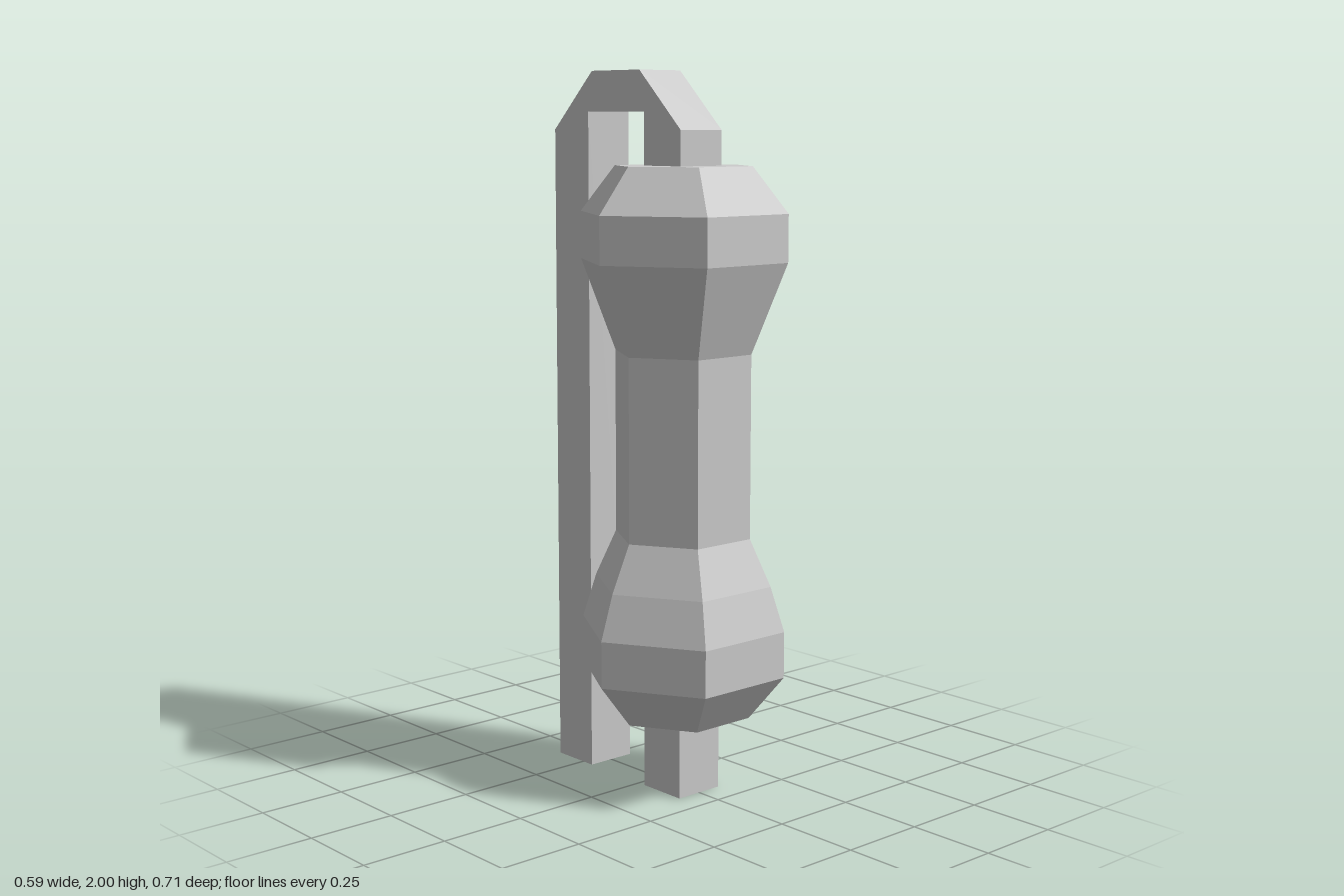
import * as THREE from 'three';

const HALF_WIDTH = 0.074;
const material = new THREE.MeshStandardMaterial({
  color: 0xcccccc, flatShading: true, side: THREE.DoubleSide,
});

// Open-ended square wire; each section is [outerZ, outerY, innerZ, innerY].
function wireGeometry(sections) {
  const positions = [];
  const rings = sections.map(([oz, oy, iz, iy]) => [
    [HALF_WIDTH, oy, oz], [-HALF_WIDTH, oy, oz],
    [-HALF_WIDTH, iy, iz], [HALF_WIDTH, iy, iz],
  ]);
  for (let i = 0; i < rings.length - 1; i++) {
    for (let k = 0; k < 4; k++) {
      const n = (k + 1) % 4;
      const a = rings[i][k], b = rings[i][n];
      const c = rings[i + 1][n], d = rings[i + 1][k];
      positions.push(...a, ...d, ...c, ...a, ...c, ...b);
    }
  }
  const geometry = new THREE.BufferGeometry();
  geometry.setAttribute('position', new THREE.Float32BufferAttribute(positions, 3));
  geometry.computeVertexNormals();
  return geometry;
}

export function createModel() {
  const group = new THREE.Group();
  const add = (name, geometry) => {
    const mesh = new THREE.Mesh(geometry, material);
    mesh.name = name;
    group.add(mesh);
    return mesh;
  };

  // Six-sided body with two bulged ends, corners on the x axis
  const profile = [
    [0, 0.22], [0.195, 0.22], [0.295, 0.345], [0.295, 0.475], [0.255, 0.6],
    [0.195, 0.73], [0.195, 1.24], [0.295, 1.49], [0.295, 1.62],
    [0.195, 1.745], [0, 1.745],
  ].map(([r, y]) => new THREE.Vector2(r, y));
  add('body', new THREE.LatheGeometry(profile, 6, Math.PI / 6)).position.z = 0.1;

  // Short straight lead below the body
  add('shortLead', wireGeometry([
    [0.172, 0, 0.025, 0],
    [0.172, 0.22, 0.025, 0.22],
  ]));

  // Long lead: out of the top, bent over and down behind the body
  add('bentLead', wireGeometry([
    [0.172, 1.745, 0.025, 1.745],
    [0.172, 1.84, 0.025, 1.89],
    [0.006, 2, 0.025, 1.89],
    [-0.193, 2, -0.21, 1.89],
    [-0.357, 1.84, -0.21, 1.89],
    [-0.357, 0, -0.21, 0],
  ]));

  return group;
}
